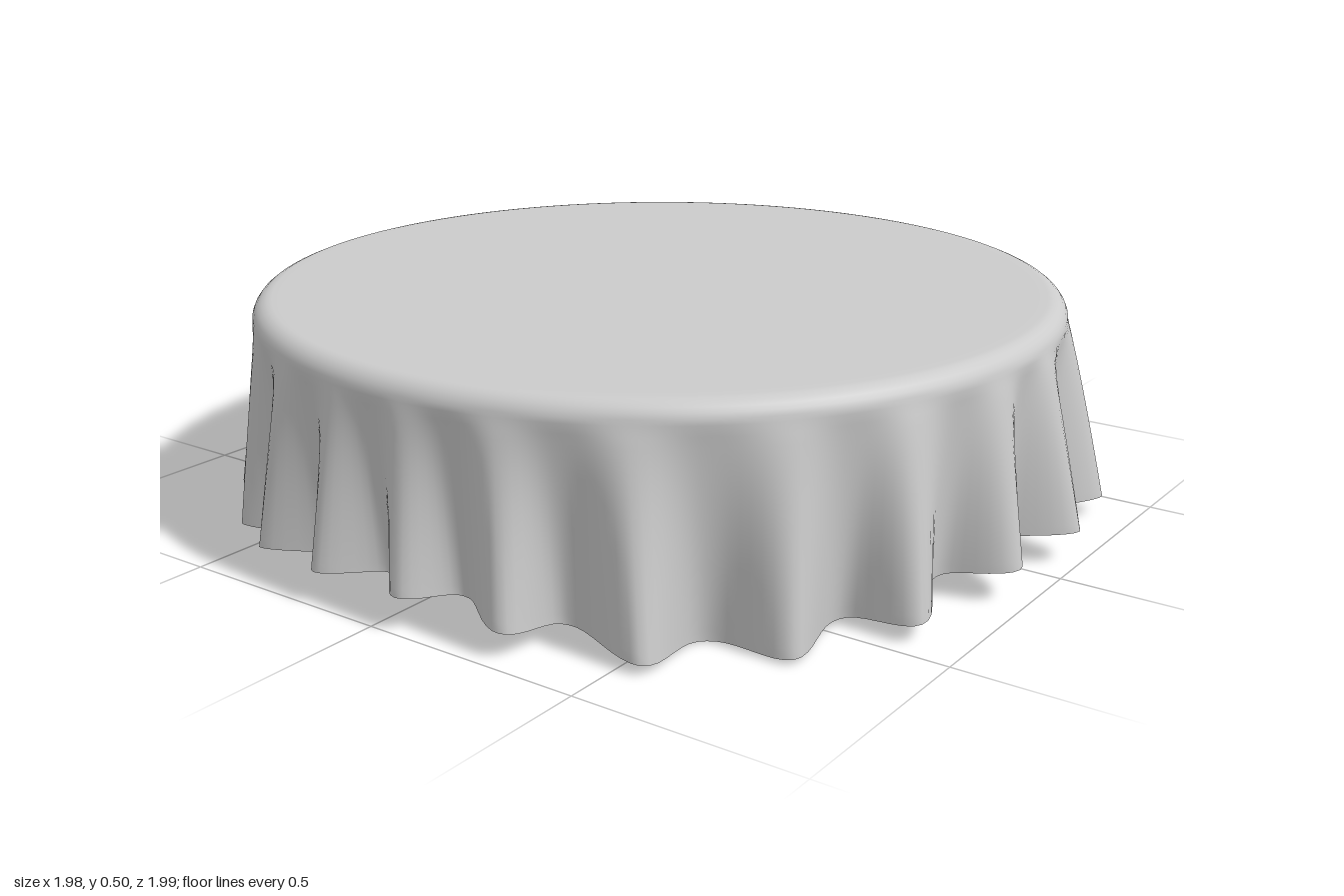
import * as THREE from 'three';

const CENTER = { x: -0.02, z: -0.01 };
const RIM = 0.92, TOP = 0.5, FILLET = 0.045, VALLEY = 0.875;
const SEGMENTS_PER_FOLD = 16, SKIRT_ROWS = 20;

// Fold crests at the hem [x, z], in order of increasing angle from +x towards +z
const CRESTS = [
  [0.92, 0.07], [0.945, 0.27], [0.82, 0.50], [0.63, 0.75], [0.37, 0.935], [0.09, 0.995],
  [-0.14, 0.98], [-0.41, 0.925], [-0.65, 0.77], [-0.88, 0.53], [-0.975, 0.27], [-0.99, 0.05],
  [-0.99, -0.15], [-0.935, -0.37], [-0.82, -0.57], [-0.60, -0.81], [-0.37, -0.94], [-0.15, -1.0],
  [0.03, -0.96], [0.24, -0.99], [0.485, -0.875], [0.68, -0.72], [0.92, -0.44], [0.99, -0.09],
];

// Sample the hem: angle, radius and how far each point is up its fold
function hemSamples() {
  const folds = CRESTS.map(([x, z]) => {
    const dx = x - CENTER.x, dz = z - CENTER.z;
    const angle = Math.atan2(dz, dx);
    return { angle: angle < 0 ? angle + Math.PI * 2 : angle, radius: Math.hypot(dx, dz) };
  });
  const samples = [];
  folds.forEach((fold, k) => {
    const next = folds[(k + 1) % folds.length];
    const span = (next.angle - fold.angle + Math.PI * 2) % (Math.PI * 2);
    for (let s = 0; s < SEGMENTS_PER_FOLD; s++) {
      const t = s / SEGMENTS_PER_FOLD;
      const crest = Math.pow(0.5 + 0.5 * Math.cos(t * Math.PI * 2), 1.15);
      const peak = t < 0.5 ? fold.radius : next.radius;
      samples.push({
        angle: fold.angle + span * t,
        radius: VALLEY + (peak - VALLEY) * crest,
        crest,
      });
    }
  });
  return samples;
}

// Rows from the middle of the top, over the rounded rim, down to the hem
function clothRows() {
  const rows = [0, 0.3, 0.6, 0.8, 0.85].map((r) => ({ r, y: TOP, drop: 0 }));
  for (let i = 0; i <= 6; i++) {
    const a = (i / 6) * Math.PI / 2;
    rows.push({ r: RIM - FILLET + FILLET * Math.sin(a), y: TOP - FILLET + FILLET * Math.cos(a), drop: 0 });
  }
  for (let i = 1; i <= SKIRT_ROWS; i++) rows.push({ r: RIM, y: TOP - FILLET, drop: i / SKIRT_ROWS });
  return rows;
}

function clothGeometry() {
  const samples = hemSamples(), rows = clothRows(), n = samples.length;
  const positions = [], indices = [];
  rows.forEach(({ r, y, drop }, i) => {
    samples.forEach(({ angle, radius, crest }, j) => {
      // Folds open steadily towards the hem and lean towards the corners of the cloth
      const open = Math.pow(drop, 0.9);
      const rad = r + (radius - RIM) * open;
      const a = angle + 0.035 * Math.sin(4 * angle) * crest * open;
      // The hem hangs lowest on the four diagonals
      const hem = 0.068 - 0.065 * Math.sin(2 * angle) ** 2 + 0.008 * crest;
      positions.push(
        CENTER.x + rad * Math.cos(a),
        y + (hem - y) * drop,
        CENTER.z + rad * Math.sin(a),
      );
      if (i < rows.length - 1) {
        const k = (j + 1) % n;
        const p = i * n + j, q = i * n + k;
        if (i > 0) indices.push(p, q, p + n);
        indices.push(q, q + n, p + n);
      }
    });
  });
  const geometry = new THREE.BufferGeometry();
  geometry.setAttribute('position', new THREE.Float32BufferAttribute(positions, 3));
  geometry.setIndex(indices);
  geometry.computeVertexNormals();
  return geometry;
}

export function createModel() {
  const group = new THREE.Group();
  group.name = 'roundTablecloth';
  const material = new THREE.MeshStandardMaterial({ color: 0xcccccc, side: THREE.DoubleSide });
  const cloth = new THREE.Mesh(clothGeometry(), material);
  cloth.name = 'drapedCloth';
  group.add(cloth);
  return group;
}
